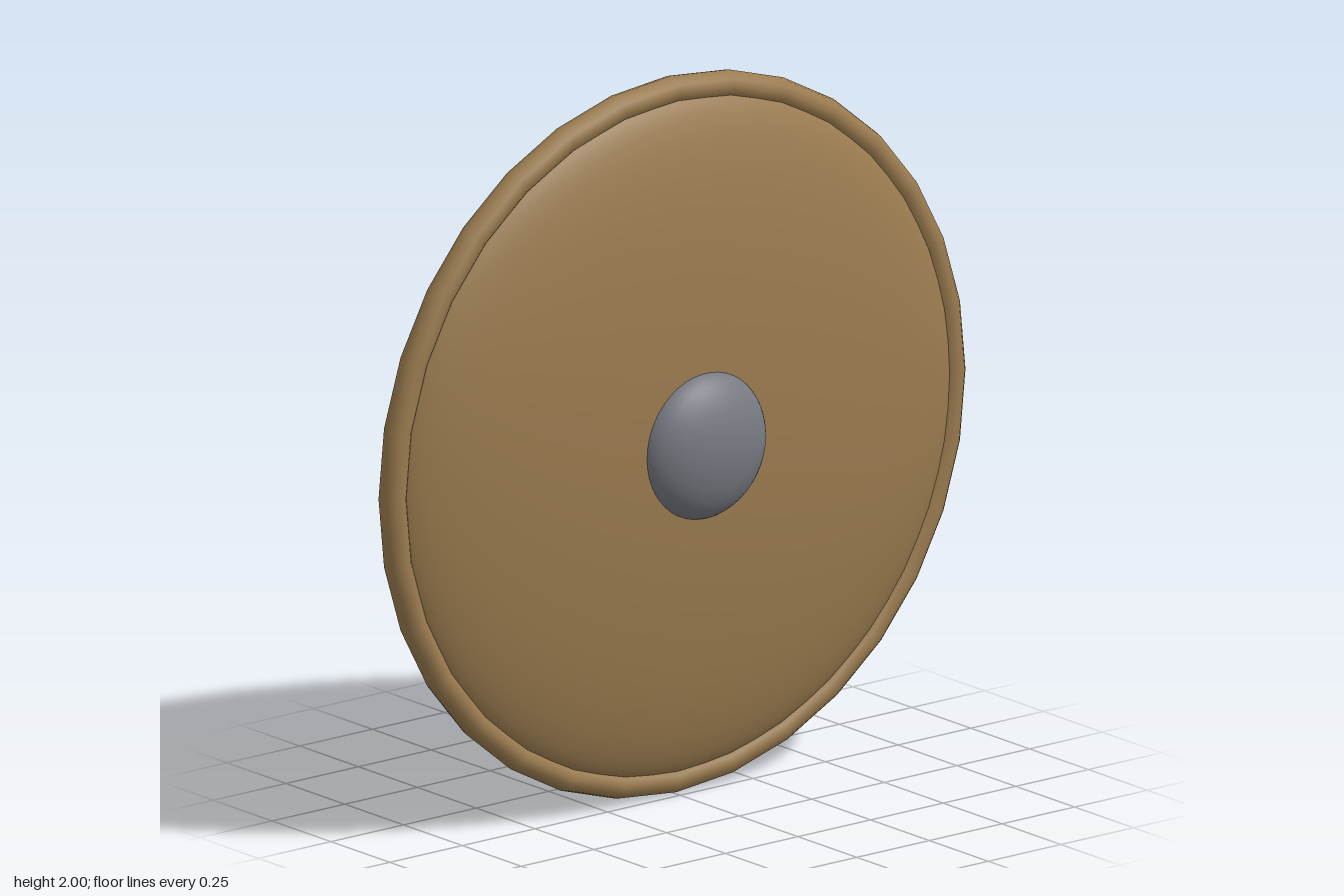
import * as THREE from 'three';

const MID_Z = -0.035; // plane of the rim

export function createModel() {
  const group = new THREE.Group();
  group.name = 'roundShield';
  const wood = new THREE.MeshStandardMaterial({ color: 0x9a7b4f });
  const lining = new THREE.MeshStandardMaterial({ color: 0x7d6b50 });
  const metal = new THREE.MeshStandardMaterial({ color: 0x777a82 });
  const leather = new THREE.MeshStandardMaterial({ color: 0x7d4c38 });

  const add = (name, geometry, material, y, z) => {
    const mesh = new THREE.Mesh(geometry, material);
    mesh.name = name;
    mesh.position.set(0, y, z);
    group.add(mesh);
    return mesh;
  };

  // Half an ellipsoid bulging towards +z (side 1) or -z (side -1)
  const dome = (radius, depth, side) =>
    new THREE.SphereGeometry(radius, 64, 20, 0, Math.PI * 2, 0, Math.PI / 2)
      .rotateX(side * Math.PI / 2)
      .scale(1, 1, depth / radius);

  // Lens-shaped body: front face and lined back
  add('frontFace', dome(0.95, 0.147, 1), wood, 1, MID_Z);
  add('backFace', dome(0.95, 0.147, -1), lining, 1, MID_Z);

  // Rounded rim
  add('rim', new THREE.TorusGeometry(0.962, 0.038, 12, 32), wood, 1, MID_Z);

  // Central boss
  const boss = new THREE.SphereGeometry(0.205, 40, 24).scale(1, 1, 0.5);
  add('boss', boss, metal, 1, 0.092);

  // Oval arm loop on the back
  const loop = new THREE.TorusGeometry(0.16, 0.015, 12, 48).scale(2, 1, 1.33);
  add('armLoop', loop, leather, 1, -0.18);

  // Hand grip, narrower at its middle
  const half = 0.215;
  const profile = [new THREE.Vector2(0, -half)];
  for (let i = 0; i <= 12; i++) {
    const t = i / 6 - 1;
    profile.push(new THREE.Vector2(0.01 + 0.008 * t * t, t * half));
  }
  profile.push(new THREE.Vector2(0, half));
  const grip = new THREE.LatheGeometry(profile, 16).rotateZ(Math.PI / 2);
  add('handGrip', grip, leather, 1.595, -0.146);

  return group;
}
